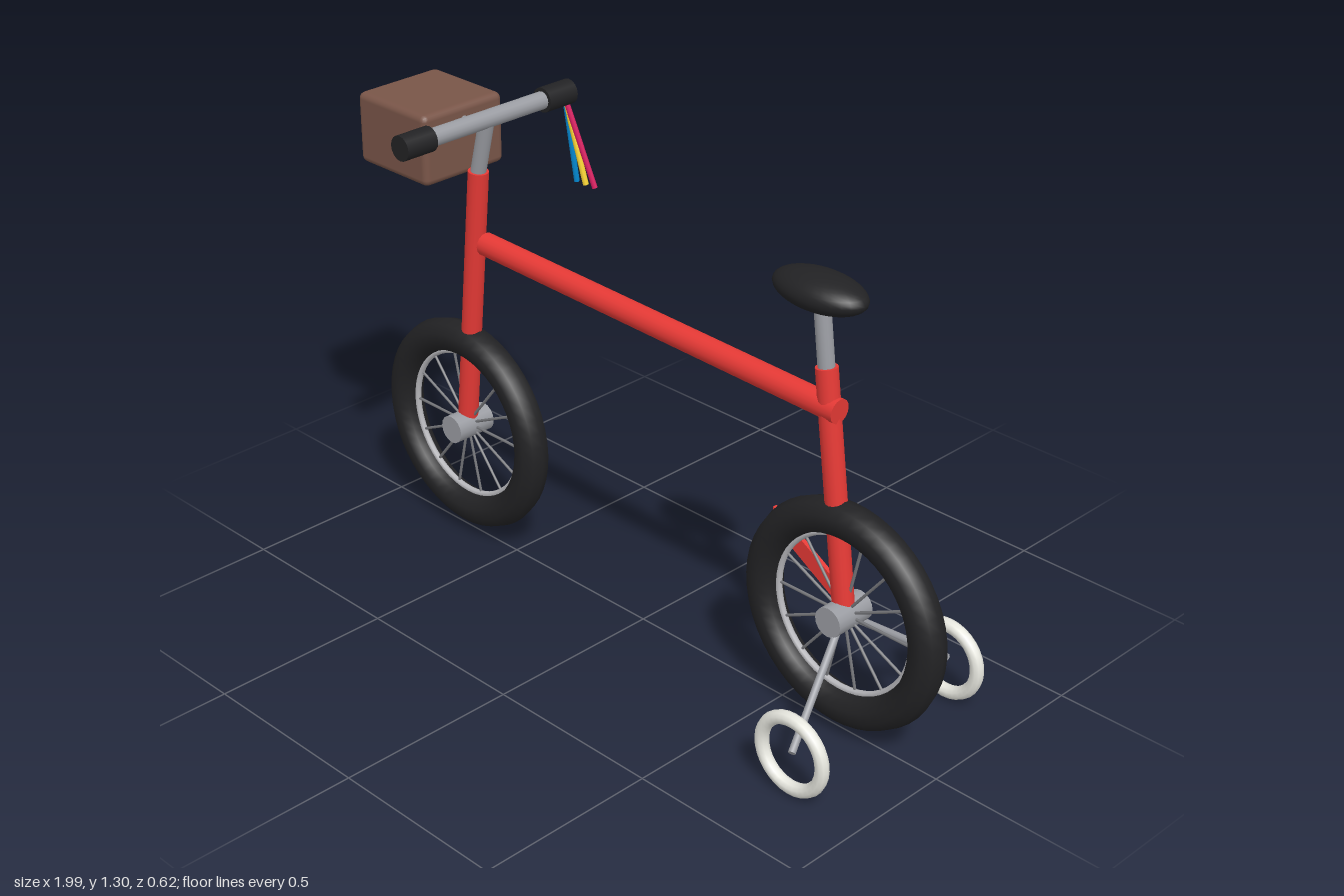
import * as THREE from 'three';
import { RoundedBoxGeometry } from 'three/addons/geometries/RoundedBoxGeometry.js';

const mat = (color) => new THREE.MeshStandardMaterial({ color });
const red = mat(0xe53935);
const black = mat(0x222224);
const metal = mat(0x9a9ca2);
const spokeGrey = mat(0x77787c);
const rimGrey = mat(0xb8b8bc);
const white = mat(0xe8e8e0);
const brown = mat(0x795548);

function add(parent, name, geometry, material, x = 0, y = 0, z = 0) {
  const mesh = new THREE.Mesh(geometry, material);
  mesh.name = name;
  mesh.position.set(x, y, z);
  parent.add(mesh);
  return mesh;
}

// round rod between two points
function rod(parent, name, a, b, radius, material, sides = 16) {
  const p = new THREE.Vector3(...a), q = new THREE.Vector3(...b);
  const dir = q.clone().sub(p);
  const mesh = add(parent, name, new THREE.CylinderGeometry(radius, radius, dir.length(), sides), material);
  mesh.position.copy(p).add(q).multiplyScalar(0.5);
  mesh.quaternion.setFromUnitVectors(new THREE.Vector3(0, 1, 0), dir.normalize());
  return mesh;
}

// spoked wheel in the xy plane
function makeWheel(name, x) {
  const wheel = new THREE.Group();
  wheel.name = name;
  wheel.position.set(x, 0.335, 0);
  add(wheel, 'tire', new THREE.TorusGeometry(0.26, 0.047, 10, 48), black);
  add(wheel, 'rim', new THREE.TorusGeometry(0.213, 0.009, 8, 48), rimGrey);
  rod(wheel, 'hub', [0, 0, -0.06], [0, 0, 0.06], 0.04, metal);
  const spokes = 14;
  for (let i = 0; i < spokes; i++) {
    const t = (i / spokes) * Math.PI * 2;
    rod(wheel, 'spoke', [0, 0, 0], [0.213 * Math.cos(t), 0.213 * Math.sin(t), 0], 0.004, spokeGrey, 6);
  }
  return wheel;
}

export function createModel() {
  const bike = new THREE.Group();
  bike.name = 'bicycle';
  bike.add(makeWheel('frontWheel', -0.69), makeWheel('rearWheel', 0.69));

  // frame
  rod(bike, 'fork', [-0.69, 0.335, 0], [-0.61, 1.11, 0], 0.028, red);
  rod(bike, 'topTube', [-0.59, 0.908, 0], [0.65, 0.873, 0], 0.032, red);
  rod(bike, 'seatTube', [0.69, 0.335, 0], [0.605, 0.975, 0], 0.028, red);

  // saddle
  rod(bike, 'seatPost', [0.606, 0.96, 0], [0.583, 1.14, 0], 0.021, metal);
  add(bike, 'saddle', new THREE.SphereGeometry(1, 28, 18), black, 0.577, 1.162, 0).scale.set(0.135, 0.046, 0.075);

  // handlebar, grips and bell
  rod(bike, 'stem', [-0.615, 1.09, 0], [-0.57, 1.265, 0], 0.021, metal);
  rod(bike, 'handlebar', [-0.57, 1.265, -0.28], [-0.57, 1.265, 0.28], 0.024, metal);
  for (const s of [-1, 1]) {
    rod(bike, 'grip', [-0.57, 1.265, s * 0.193], [-0.57, 1.265, s * 0.29], 0.034, black);
  }
  add(bike, 'bell', new THREE.CylinderGeometry(0.032, 0.032, 0.025, 16), metal, -0.625, 1.235, 0.172);

  // streamers on the right grip
  [0x0288d1, 0xfdd835, 0xd81b60].forEach((color, i) => {
    rod(bike, 'streamer', [-0.57, 1.25, -0.275], [-0.555 + 0.035 * i, 1.01, -0.3], 0.008, mat(color), 8);
  });

  // basket
  add(bike, 'basket', new RoundedBoxGeometry(0.27, 0.196, 0.272, 2, 0.018), brown, -0.795, 1.182, 0);
  rod(bike, 'basketBracket', [-0.68, 1.238, 0], [-0.58, 1.238, 0], 0.012, metal, 10);

  // slanted chain guard beside the rear wheel
  const guard = new THREE.Shape([[0.412, 0.45], [0.66, 0.3], [0.66, 0.355], [0.412, 0.502]]
    .map(([x, y]) => new THREE.Vector2(x, y)));
  add(bike, 'chainGuard', new THREE.ExtrudeGeometry(guard, { depth: 0.012, bevelEnabled: false }), red, 0, 0, -0.056);

  // training wheels
  for (const s of [-1, 1]) {
    rod(bike, 'trainingArm', [0.69, 0.335, 0], [0.79, 0.12, s * 0.29], 0.01, metal, 10);
    add(bike, 'trainingWheel', new THREE.TorusGeometry(0.096, 0.018, 10, 32), white, 0.79, 0.118, s * 0.29);
  }
  return bike;
}
